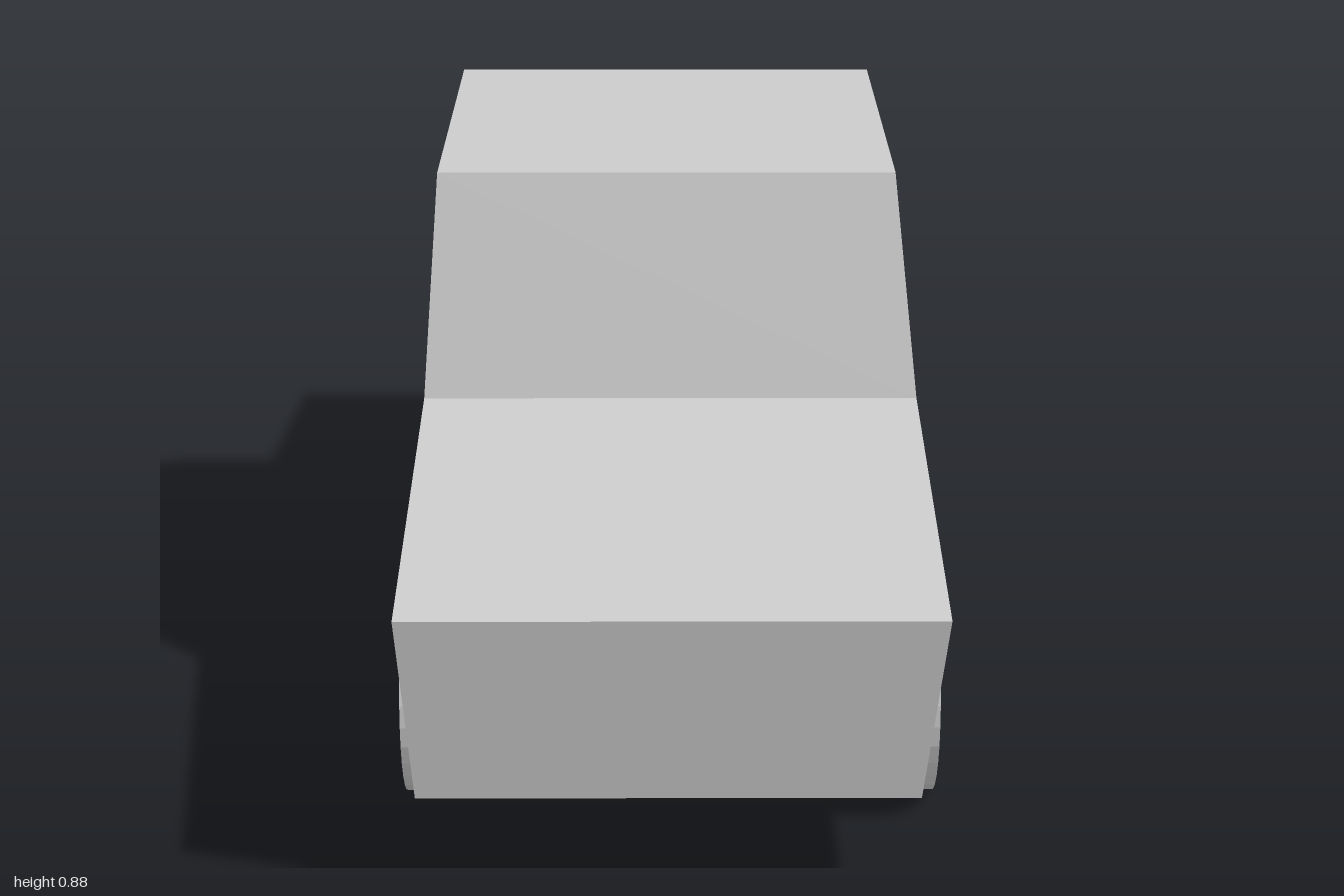
import * as THREE from 'three';

const material = new THREE.MeshStandardMaterial({ color: 0xcccccc, flatShading: true });

// Side profile as [z, y, right x, left x], from the front bottom over the roof to the rear
const sill = [-0.372, 0.366], belt = [-0.394, 0.398], roof = [-0.373, 0.365];
const profile = [
  [0.97, 0.148, ...sill],
  [1.0, 0.443, ...belt],
  [0.35, 0.541, ...belt],
  [0.225, 0.882, ...roof],
  [-0.47, 0.882, ...roof],
  [-0.595, 0.528, ...belt],
  [-0.99, 0.5, ...belt],
  [-1.0, 0.148, ...sill],
];

// Flank panels: cabin side, belt band and lower side
const flank = [[2, 3, 4], [2, 4, 5], [1, 2, 5], [1, 5, 6], [0, 1, 6], [0, 6, 7]];

function bodyGeometry() {
  const n = profile.length;
  const positions = profile.flatMap(([z, y, r, l]) => [r, y, z, l, y, z]);
  const R = i => 2 * i, L = i => 2 * i + 1;
  const index = [];
  // Strip running around the profile: nose, hood, windscreen, roof, rear, floor
  for (let i = 0; i < n; i++) {
    const j = (i + 1) % n;
    index.push(L(i), L(j), R(j), L(i), R(j), R(i));
  }
  // Mirrored flanks
  for (const [a, b, c] of flank) index.push(R(a), R(b), R(c), L(a), L(c), L(b));
  const geometry = new THREE.BufferGeometry();
  geometry.setAttribute('position', new THREE.Float32BufferAttribute(positions, 3));
  geometry.setIndex(index);
  const flat = geometry.toNonIndexed();
  flat.computeVertexNormals();
  return flat;
}

export function createModel() {
  const car = new THREE.Group();
  car.name = 'car';

  const body = new THREE.Mesh(bodyGeometry(), material);
  body.name = 'body';
  car.add(body);

  // Four plain cylinder wheels, partly sunk into the body
  const wheelGeometry = new THREE.CylinderGeometry(0.173, 0.173, 0.163, 32).rotateZ(Math.PI / 2);
  for (const [end, z] of [['front', 0.62], ['rear', -0.717]]) {
    for (const [side, sign] of [['Left', 1], ['Right', -1]]) {
      const wheel = new THREE.Mesh(wheelGeometry, material);
      wheel.name = `${end}${side}Wheel`;
      wheel.position.set(sign * 0.3265, 0.173, z);
      car.add(wheel);
    }
  }
  return car;
}
